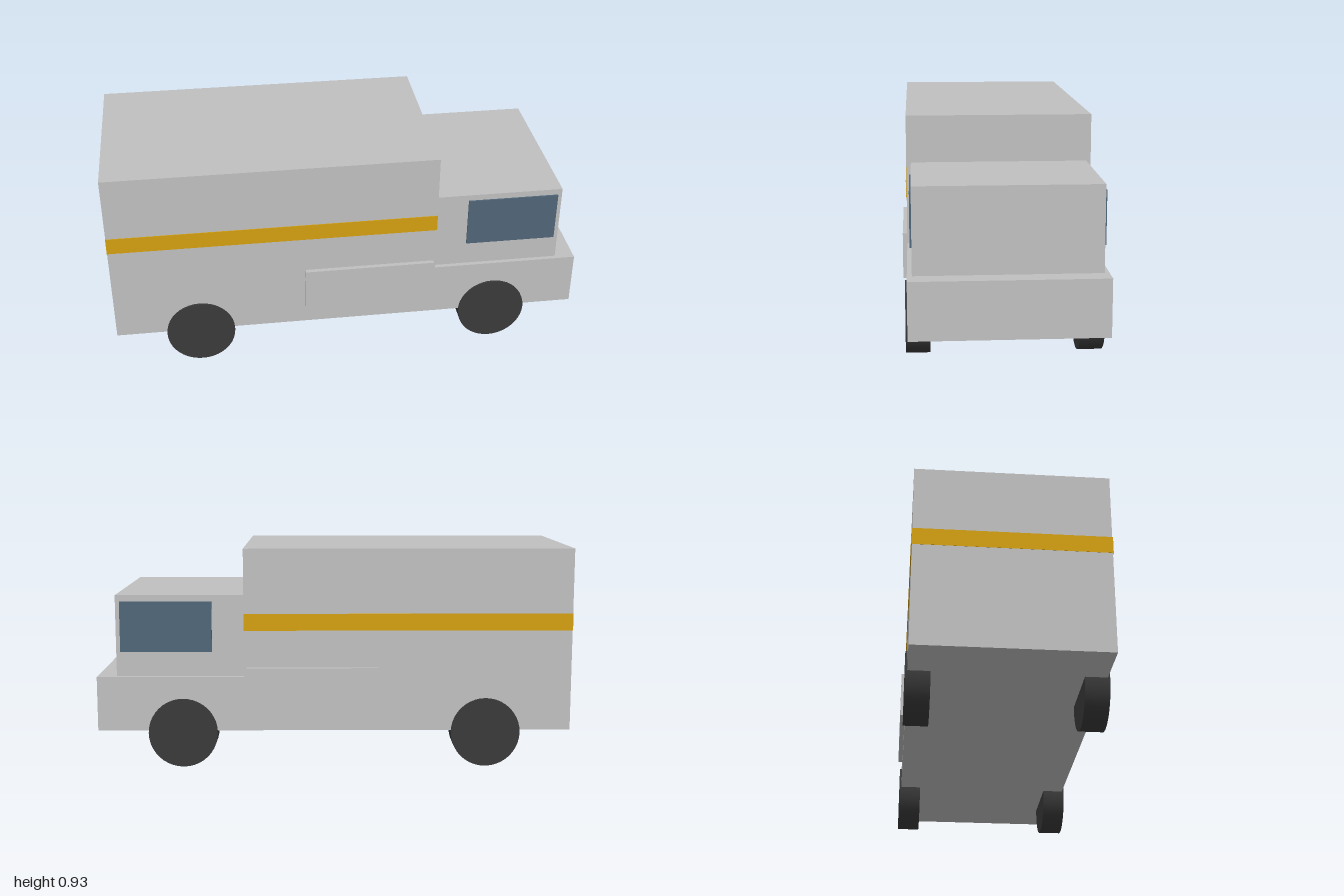
import * as THREE from 'three';

export function createModel() {
  const truck = new THREE.Group();
  truck.name = 'boxTruck';

  const paint = (name, color) => {
    const m = new THREE.MeshStandardMaterial({ color });
    m.name = name;
    return m;
  };
  const bodyGrey = paint('bodyGrey', 0xc0c0c0);
  const stripeYellow = paint('stripeYellow', 0xd4a010);
  const windowBlue = paint('windowBlue', 0x506678);
  const tyreBlack = paint('tyreBlack', 0x3a3a3a);

  const add = (name, geometry, material) => {
    const mesh = new THREE.Mesh(geometry, material);
    mesh.name = name;
    truck.add(mesh);
    return mesh;
  };
  // Box given by its lower and upper bounds
  const addBox = (name, material, [x0, x1], [y0, y1], [z0, z1]) => {
    const box = add(name, new THREE.BoxGeometry(x1 - x0, y1 - y0, z1 - z0), material);
    box.position.set((x0 + x1) / 2, (y0 + y1) / 2, (z0 + z1) / 2);
  };

  // Cargo body and low nose as one stepped side profile
  const profile = new THREE.Shape([
    [-1, 0.155], [1, 0.155], [1, 0.386], [0.38, 0.386], [0.38, 0.925], [-1, 0.925],
  ].map(([x, y]) => new THREE.Vector2(x, y)));
  const body = new THREE.ExtrudeGeometry(profile, { depth: 0.77, bevelEnabled: false });
  add('body', body.translate(0, 0, -0.385), bodyGrey);

  // Cab, slightly narrower than the body
  addBox('cab', bodyGrey, [0.38, 0.918], [0.386, 0.73], [-0.366, 0.366]);

  // Stripe across the rear
  addBox('rearStripe', stripeYellow, [-1.001, -0.999], [0.582, 0.653], [-0.388, 0.388]);

  for (const side of [1, -1]) {
    const end = side > 0 ? 'Front' : 'Back';
    const span = (a, b) => (side > 0 ? [a, b] : [-b, -a]);
    addBox('sideStripe' + end, stripeYellow, [-1, 0.38], [0.582, 0.653], span(0.384, 0.388));
    addBox('cabWindow' + end, windowBlue, [0.515, 0.9], [0.491, 0.704], span(0.365, 0.373));
    addBox('sidePanel' + end, bodyGrey, [-0.184, 0.37], [0.232, 0.425], span(0.384, 0.404));

    // Wheels, set mostly under the body
    for (const x of [-0.64, 0.64]) {
      const tyre = new THREE.CylinderGeometry(0.146, 0.146, 0.098, 40).rotateX(Math.PI / 2);
      add((x > 0 ? 'frontWheel' : 'rearWheel') + end, tyre, tyreBlack)
        .position.set(x, 0.146, side * 0.345);
    }
  }
  return truck;
}
